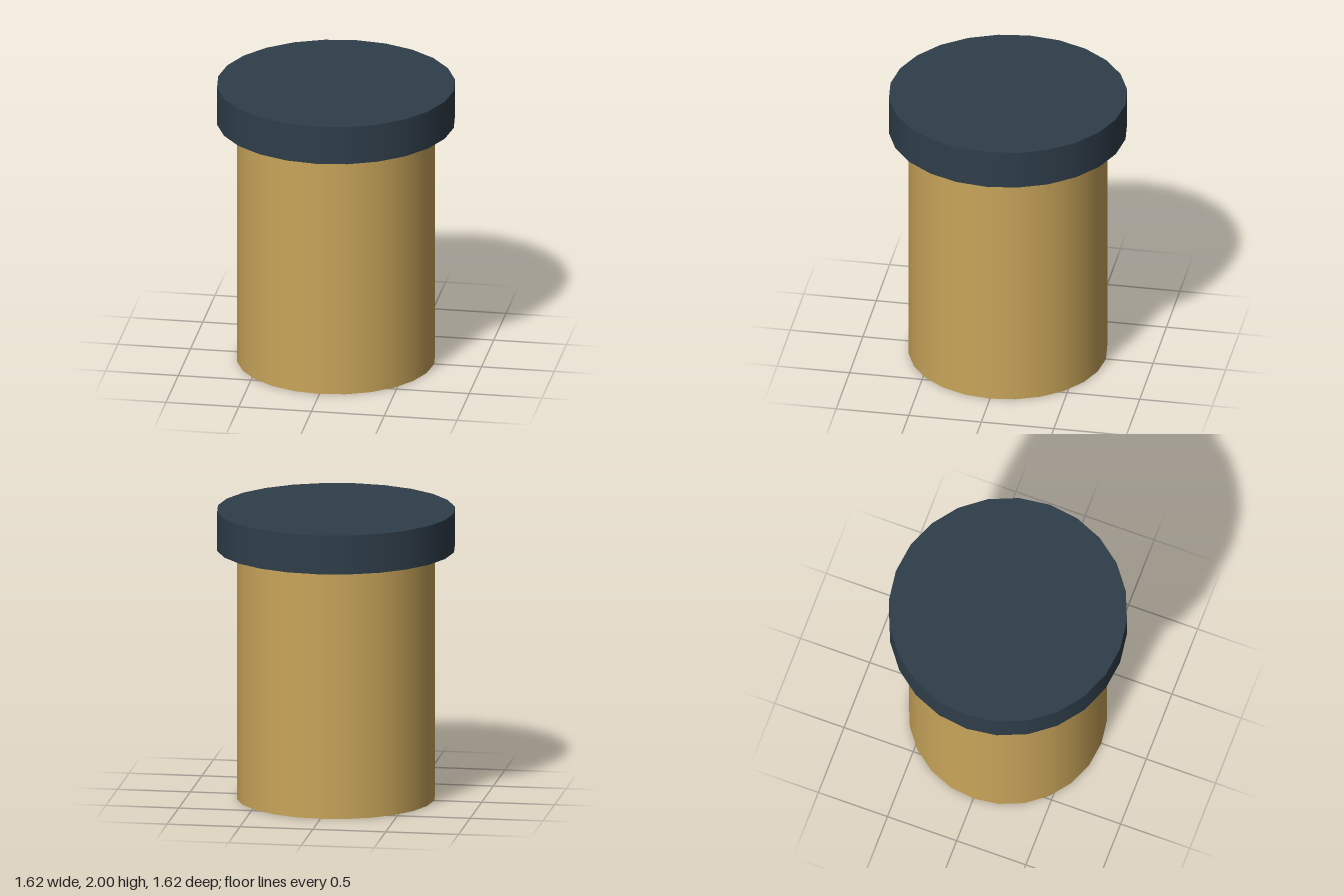
import * as THREE from 'three';

const SIDES = 24;

// Closed upright cylinder from y0 to y1
function drum(name, radius, y0, y1, color) {
  const mesh = new THREE.Mesh(
    new THREE.CylinderGeometry(radius, radius, y1 - y0, SIDES),
    new THREE.MeshStandardMaterial({ color })
  );
  mesh.name = name;
  mesh.position.y = (y0 + y1) / 2;
  return mesh;
}

export function createModel() {
  const group = new THREE.Group();
  group.name = 'cappedCylinder';
  // Brass-coloured body and the wider dark cap on top
  group.add(drum('body', 0.675, 0, 1.73, 0xc9a55a));
  group.add(drum('cap', 0.81, 1.73, 2, 0x2f3e4a));
  return group;
}
